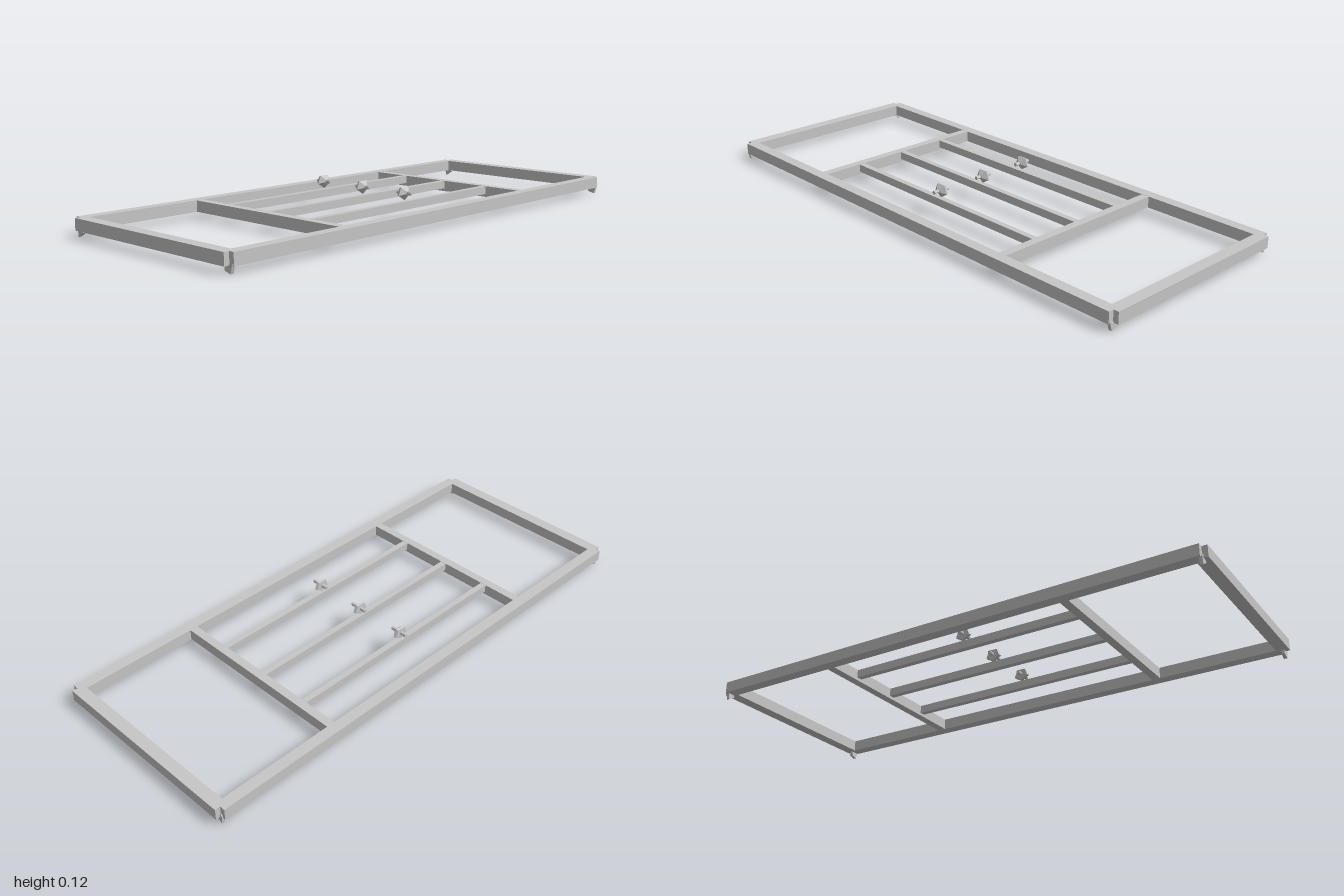
import * as THREE from 'three';

export function createModel() {
  const model = new THREE.Group();
  const steel = new THREE.MeshStandardMaterial({ color: 0xc6c6c6, flatShading: true });
  steel.name = 'light grey steel';

  const add = (name, geometry, x = 0, y = 0, z = 0, parent = model) => {
    const mesh = new THREE.Mesh(geometry, steel);
    mesh.name = name;
    mesh.position.set(x, y, z);
    parent.add(mesh);
    return mesh;
  };

  // Outer frame with small notched corners, extruded upwards
  const X = 1, Z = 0.404, N = 0.02;
  const outline = [
    [-X + N, -Z], [X - N, -Z], [X - N, -Z + N], [X, -Z + N],
    [X, Z - N], [X - N, Z - N], [X - N, Z], [-X + N, Z],
    [-X + N, Z - N], [-X, Z - N], [-X, -Z + N], [-X + N, -Z + N],
  ].map(([x, z]) => new THREE.Vector2(x, z));
  const frame = new THREE.Shape(outline);
  const ix = 0.955, iz = 0.362;
  frame.holes.push(new THREE.Path(
    [[-ix, -iz], [-ix, iz], [ix, iz], [ix, -iz]].map(([x, z]) => new THREE.Vector2(x, z))
  ));
  const frameGeometry = new THREE.ExtrudeGeometry(frame, { depth: 0.043, bevelEnabled: false });
  frameGeometry.rotateX(-Math.PI / 2);
  add('outerFrame', frameGeometry, 0, 0.028, 0);

  // Cross members between the long sides
  for (const x of [-0.49, 0.49]) {
    add('crossMember', new THREE.BoxGeometry(0.032, 0.042, 2 * iz), x, 0.0495, 0);
  }

  // Thin rails, each carrying a faceted roller on a short axle
  const wheelGeometry = new THREE.LatheGeometry(
    [[0, -0.011], [0.026, -0.01], [0.03, -0.001], [0.009, 0.014], [0, 0.014]]
      .map(([r, h]) => new THREE.Vector2(r, h)), 5);
  wheelGeometry.rotateX(Math.PI / 2);
  for (const z of [-0.215, -0.01, 0.197]) {
    add('thinRail', new THREE.BoxGeometry(0.95, 0.03, 0.023), 0, 0.055, z);
    const roller = new THREE.Group();
    roller.name = 'roller';
    roller.position.set(0, 0.101, z + 0.002);
    model.add(roller);
    add('rollerWheel', wheelGeometry, 0, 0, 0, roller).scale.set(1.1, 0.92, 1);
    const axle = new THREE.CylinderGeometry(0.007, 0.007, 0.068, 8);
    axle.rotateX(Math.PI / 2);
    add('rollerAxle', axle, 0, 0, 0, roller);
  }

  // Thin wedge feet under the corners
  const footShapes = {
    1: [[0.402, 0.035], [0.367, 0.028], [0.367, 0.011], [0.393, 0.004]],
    [-1]: [[-0.388, 0.044], [-0.362, 0.021], [-0.391, 0.003], [-0.394, 0.03]],
  };
  for (const sz of [-1, 1]) {
    const shape = new THREE.Shape(footShapes[sz].map(([z, y]) => new THREE.Vector2(-z, y)));
    const foot = new THREE.ExtrudeGeometry(shape, { depth: 0.012, bevelEnabled: false });
    foot.rotateY(Math.PI / 2);
    for (const sx of [-1, 1]) add('cornerFoot', foot, sx * 0.978 - 0.006, 0, 0);
  }

  return model;
}
